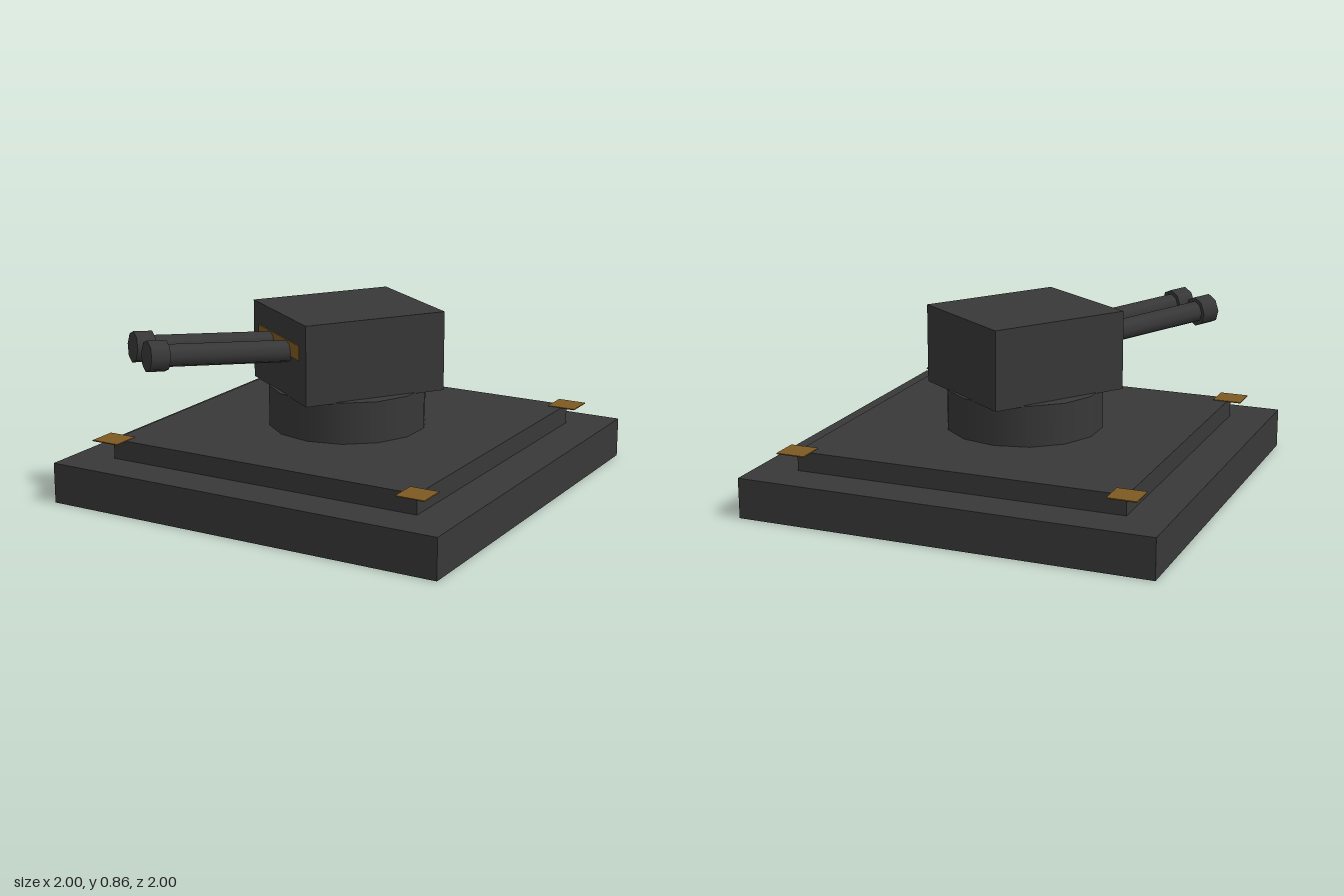
import * as THREE from 'three';

export function createModel() {
  const model = new THREE.Group();
  model.name = 'gunTurret';

  const darkMetal = new THREE.MeshStandardMaterial({ color: 0x383838 });
  darkMetal.name = 'dark metal';
  const amber = new THREE.MeshStandardMaterial({ color: 0x7d5a22 });
  amber.name = 'amber';

  function add(parent, name, geometry, material, x, y, z) {
    const mesh = new THREE.Mesh(geometry, material);
    mesh.name = name;
    mesh.position.set(x, y, z);
    parent.add(mesh);
    return mesh;
  }

  // Stepped square base
  add(model, 'baseSlab', new THREE.BoxGeometry(2, 0.193, 2), darkMetal, 0, 0.0965, 0);
  add(model, 'upperSlab', new THREE.BoxGeometry(1.6, 0.097, 1.6), darkMetal, 0, 0.2385, 0);

  // Thin markers overhanging the corners of the step
  const marker = new THREE.BoxGeometry(0.14, 0.005, 0.14);
  for (const x of [-0.8, 0.8]) {
    for (const z of [-0.8, 0.8]) add(model, 'cornerMarker', marker, amber, x, 0.2875, z);
  }

  // Round pedestal
  add(model, 'pedestal', new THREE.CylinderGeometry(0.38, 0.38, 0.2, 14), darkMetal, 0, 0.385, 0);

  // Head, swung towards the model's right
  const head = new THREE.Group();
  head.name = 'head';
  head.rotation.y = THREE.MathUtils.degToRad(-35);
  model.add(head);
  add(head, 'housing', new THREE.BoxGeometry(0.62, 0.38, 0.71), darkMetal, 0, 0.67, 0);
  add(head, 'frontStripe', new THREE.BoxGeometry(0.48, 0.07, 0.008), amber, 0, 0.718, 0.357);

  // Twin barrels, tilted slightly upwards, each with a muzzle collar
  const barrelGeometry = new THREE.CylinderGeometry(0.053, 0.053, 0.72, 8).rotateX(Math.PI / 2);
  const collarGeometry = new THREE.CylinderGeometry(0.073, 0.073, 0.09, 8).rotateX(Math.PI / 2);
  for (const x of [-0.097, 0.097]) {
    const gun = new THREE.Group();
    gun.name = 'gun';
    gun.position.set(x, 0.697, 0.35);
    gun.rotation.x = -0.07;
    head.add(gun);
    add(gun, 'barrel', barrelGeometry, darkMetal, 0, 0, 0.31);
    add(gun, 'muzzleCollar', collarGeometry, darkMetal, 0, 0, 0.646);
  }

  return model;
}
